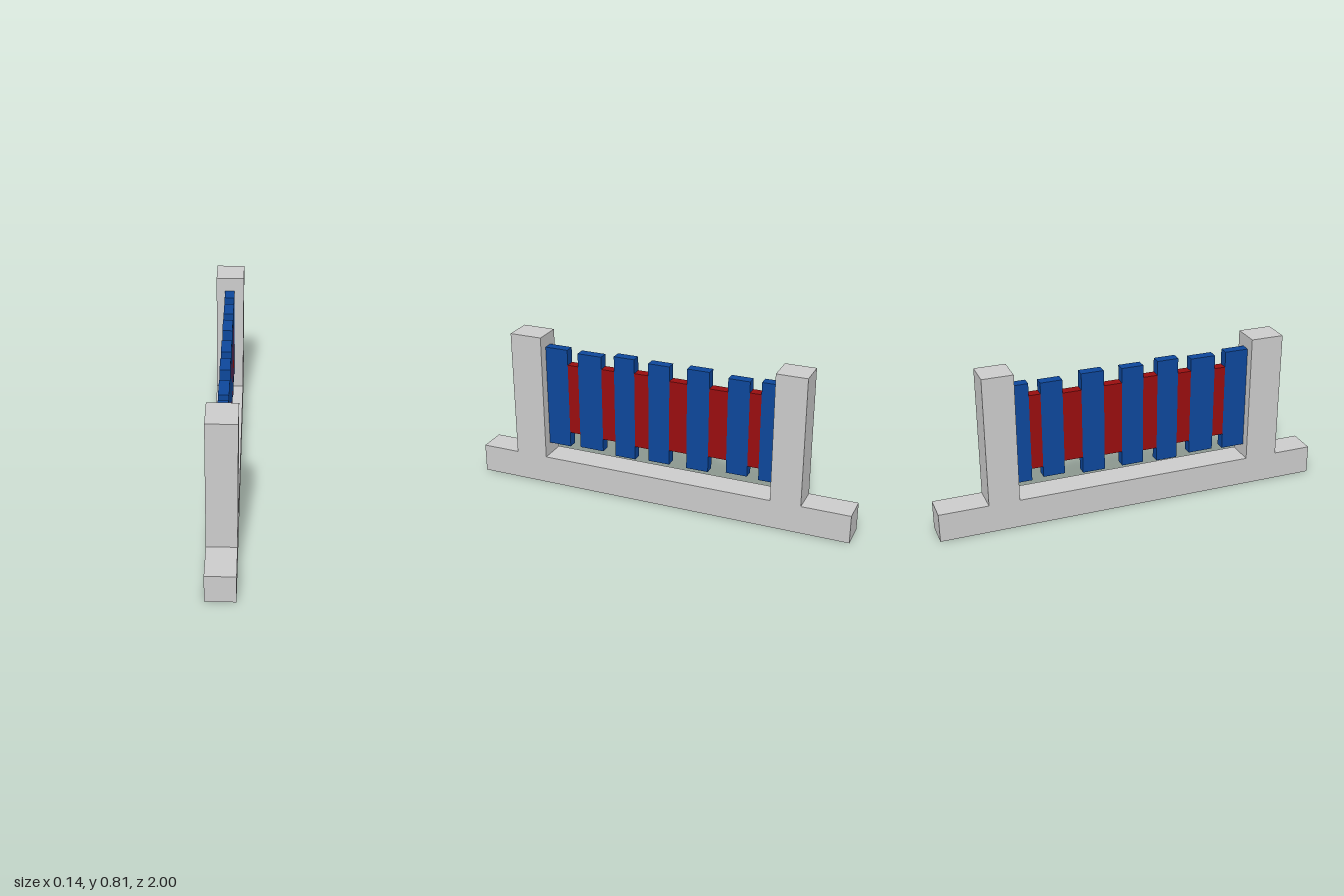
import * as THREE from 'three';

export function createModel() {
  const model = new THREE.Group();
  model.name = 'platedRack';
  const grey = new THREE.MeshStandardMaterial({ color: 0xcccccc, flatShading: true });
  const blue = new THREE.MeshStandardMaterial({ color: 0x0d479b, flatShading: true });
  const red = new THREE.MeshStandardMaterial({ color: 0x990d0f, flatShading: true });

  // Frame: base and two posts as one side profile (z, y), extruded across x
  const width = 0.144, baseTop = 0.147, postTop = 0.81;
  const profile = new THREE.Shape([
    [-1, 0], [1, 0], [1, baseTop], [0.8, baseTop], [0.8, postTop], [0.63, postTop],
    [0.63, baseTop], [-0.597, baseTop], [-0.597, postTop], [-0.752, postTop],
    [-0.752, baseTop], [-1, baseTop],
  ].map(([z, y]) => new THREE.Vector2(z, y)));
  const frameGeometry = new THREE.ExtrudeGeometry(profile, { depth: width, bevelEnabled: false });
  frameGeometry.translate(0, 0, -width / 2).rotateY(-Math.PI / 2);
  const frame = new THREE.Mesh(frameGeometry, grey);
  frame.name = 'frame';
  model.add(frame);

  // Upright slab between two z positions and two heights
  const addSlab = (name, material, zFront, zBack, bottom, top) => {
    const slab = new THREE.Mesh(new THREE.BoxGeometry(0.05, top - bottom, zFront - zBack), material);
    slab.position.set(-0.002, (top + bottom) / 2, (zFront + zBack) / 2);
    slab.name = name;
    model.add(slab);
  };

  // Tall plates, front to back: [zFront, zBack, bottom, top]
  const plates = [
    [0.63, 0.508, 0.21, 0.745],
    [0.45, 0.32, 0.217, 0.736],
    [0.25, 0.14, 0.205, 0.75],
    [0.065, -0.047, 0.212, 0.741],
    [-0.14, -0.255, 0.211, 0.745],
    [-0.35, -0.46, 0.227, 0.729],
    [-0.518, -0.597, 0.22, 0.736],
  ];
  plates.forEach((plate, i) => addSlab(`tallPlate${i + 1}`, blue, ...plate));

  // Shorter spacers filling the gaps: [bottom, top]
  const spacers = [[0.29, 0.665], [0.285, 0.671], [0.277, 0.677], [0.29, 0.665], [0.296, 0.66], [0.283, 0.673]];
  spacers.forEach(([bottom, top], i) =>
    addSlab(`spacer${i + 1}`, red, plates[i][1], plates[i + 1][0], bottom, top));

  return model;
}
